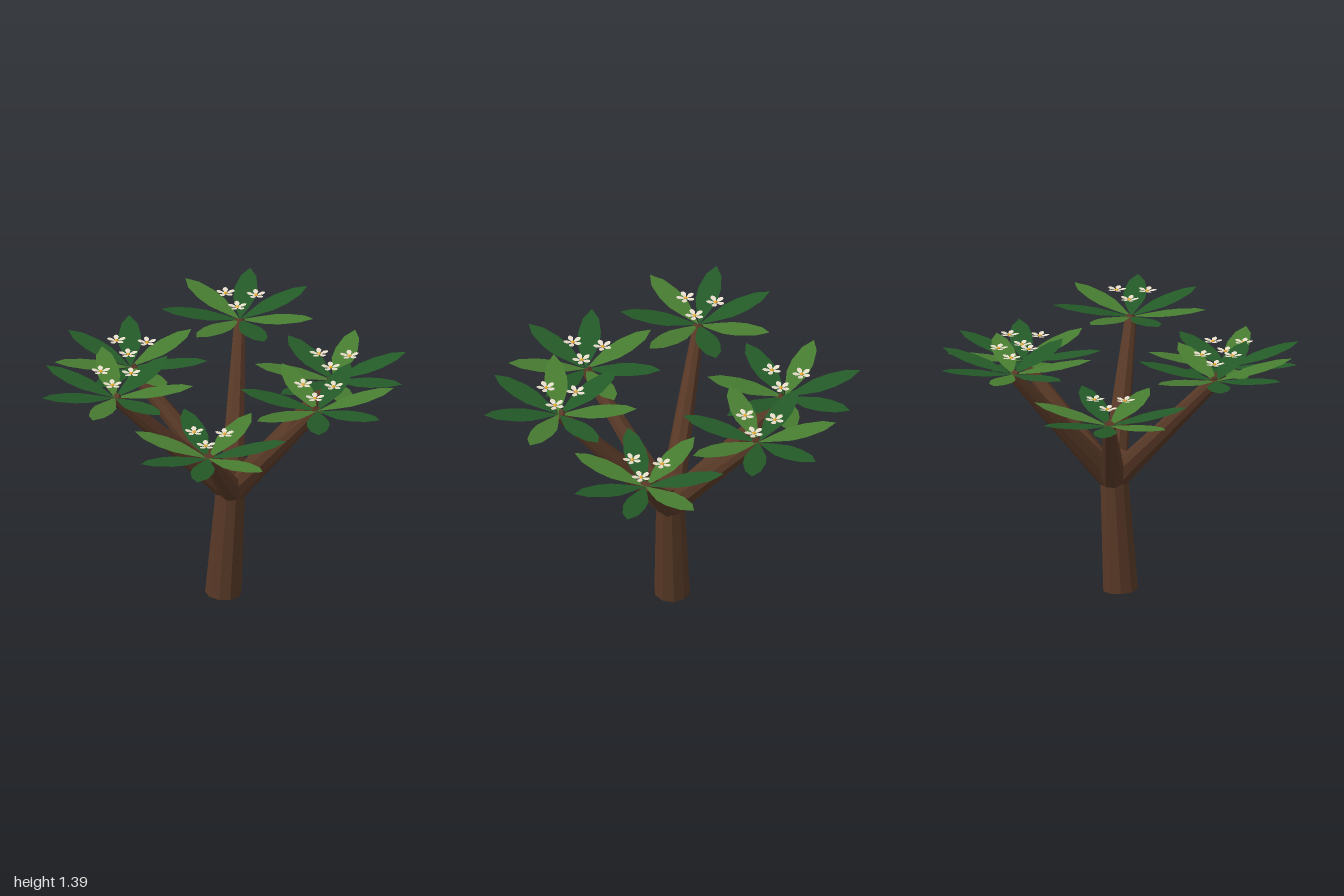
import * as THREE from 'three';

const mat = (name, color, extra = {}) => {
  const m = new THREE.MeshStandardMaterial({ color, flatShading: true, ...extra });
  m.name = name;
  return m;
};

// Flat pointed blade lying along +x, tilted so its tip rises
function bladeGeometry(halfProfile, tilt) {
  const lower = halfProfile.map(([x, w]) => new THREE.Vector2(x, -w));
  const upper = halfProfile.slice(1, -1).reverse().map(([x, w]) => new THREE.Vector2(x, w));
  const geo = new THREE.ShapeGeometry(new THREE.Shape([...lower, ...upper]));
  return geo.rotateX(-Math.PI / 2).rotateZ(tilt);
}

// Tapered round limb between two points
function limb(name, from, to, r0, r1, sides, material) {
  const dir = to.clone().sub(from);
  const mesh = new THREE.Mesh(new THREE.CylinderGeometry(r1, r0, dir.length(), sides), material);
  mesh.name = name;
  mesh.position.copy(from).add(to).multiplyScalar(0.5);
  mesh.quaternion.setFromUnitVectors(new THREE.Vector3(0, 1, 0), dir.normalize());
  return mesh;
}

export function createModel() {
  const bark = mat('bark brown', 0x573826);
  const darkLeaf = mat('dark green', 0x245a28, { side: THREE.DoubleSide });
  const lightLeaf = mat('light green', 0x487d31, { side: THREE.DoubleSide });
  const cream = mat('petal cream', 0xf3e9d6, { side: THREE.DoubleSide });
  const yellow = mat('flower yellow', 0xe8a92c);

  const leafGeo = bladeGeometry(
    [[0, 0], [0.09, 0.032], [0.17, 0.056], [0.25, 0.058], [0.345, 0.04], [0.408, 0]], 0.2);
  const petalGeo = bladeGeometry(
    [[0, 0], [0.015, 0.008], [0.032, 0.014], [0.044, 0.01], [0.051, 0]], 0.2);
  const heartGeo = new THREE.SphereGeometry(0.01, 8, 6);

  const tree = new THREE.Group();
  tree.name = 'floweringTree';

  // Slightly leaning trunk
  tree.add(limb('trunk', new THREE.Vector3(-0.004, 0.006, 0),
    new THREE.Vector3(0.045, 0.733, 0), 0.093, 0.07, 10, bark));

  // Five-petalled flower
  function flower() {
    const g = new THREE.Group();
    g.name = 'flower';
    for (let i = 0; i < 5; i++) {
      const petal = new THREE.Mesh(petalGeo, cream);
      petal.name = 'petal';
      petal.rotation.y = (i * Math.PI * 2) / 5;
      g.add(petal);
    }
    const heart = new THREE.Mesh(heartGeo, yellow);
    heart.name = 'flowerCentre';
    heart.scale.y = 0.6;
    heart.position.y = 0.003;
    g.add(heart);
    return g;
  }

  // Six branches at alternating heights, each with a leaf rosette and flowers
  const fork = new THREE.Vector3(0.043, 0.585, 0);
  for (let k = 0; k < 6; k++) {
    const a = (k * Math.PI) / 3;
    const tip = new THREE.Vector3(0.6 * Math.cos(a), k % 2 ? 1.26 : 1.11, 0.6 * Math.sin(a));
    tree.add(limb('branch', fork, tip, 0.067, 0.03, 8, bark));

    const rosette = new THREE.Group();
    rosette.name = 'leafRosette';
    rosette.position.copy(tip);
    rosette.rotation.y = -a;
    for (let i = 0; i < 7; i++) {
      const leaf = new THREE.Mesh(leafGeo, i % 2 ? lightLeaf : darkLeaf);
      leaf.name = 'leaf';
      leaf.rotation.y = (i * Math.PI * 2) / 7;
      rosette.add(leaf);
    }
    tree.add(rosette);

    for (let j = 0; j < 3; j++) {
      const b = (j * Math.PI * 2) / 3;
      const f = flower();
      f.position.set(tip.x + 0.09 * Math.cos(b), tip.y + 0.121, tip.z + 0.09 * Math.sin(b));
      tree.add(f);
    }
  }
  return tree;
}
